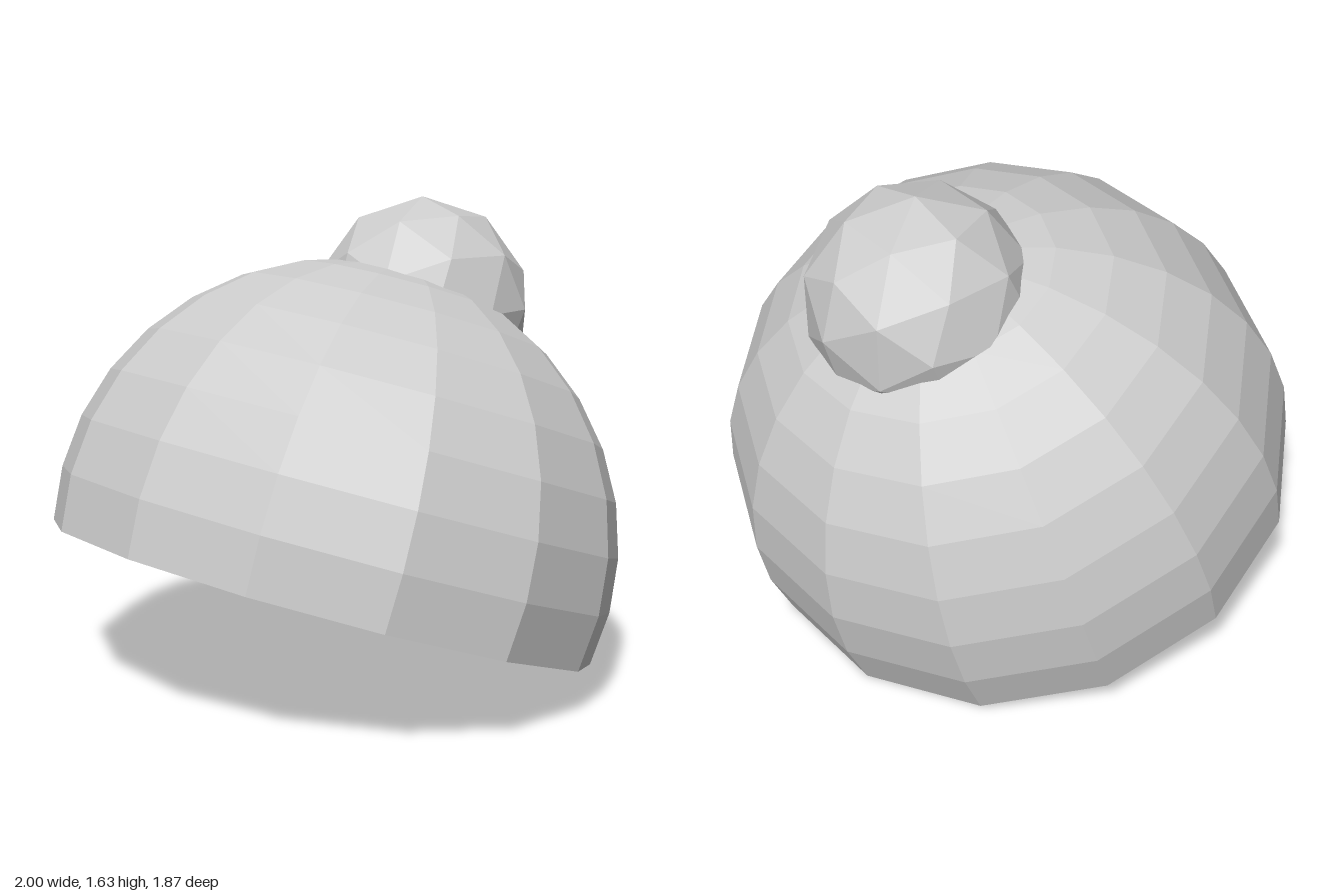
import * as THREE from 'three';

export function createModel() {
  const group = new THREE.Group();
  group.name = 'bobbleCap';

  const lightGrey = new THREE.MeshStandardMaterial({
    color: 0xcccccc, flatShading: true, side: THREE.DoubleSide,
  });
  lightGrey.name = 'lightGrey';

  // Open faceted dome, reaching one ring below its equator and tilted backwards
  const ring = Math.PI / 16;
  const dome = new THREE.Mesh(
    new THREE.SphereGeometry(0.963, 14, 9, 0, Math.PI * 2, 0, ring * 9),
    lightGrey
  );
  dome.name = 'capDome';
  dome.scale.x = 1 / 0.963;
  dome.rotation.x = -0.323;
  dome.position.y = 0.47;
  group.add(dome);

  // Faceted bobble half sunk into the crown
  const bobble = new THREE.Mesh(new THREE.IcosahedronGeometry(0.375, 1), lightGrey);
  bobble.name = 'bobble';
  bobble.position.set(0, 1.255, -0.375);
  group.add(bobble);

  return group;
}
